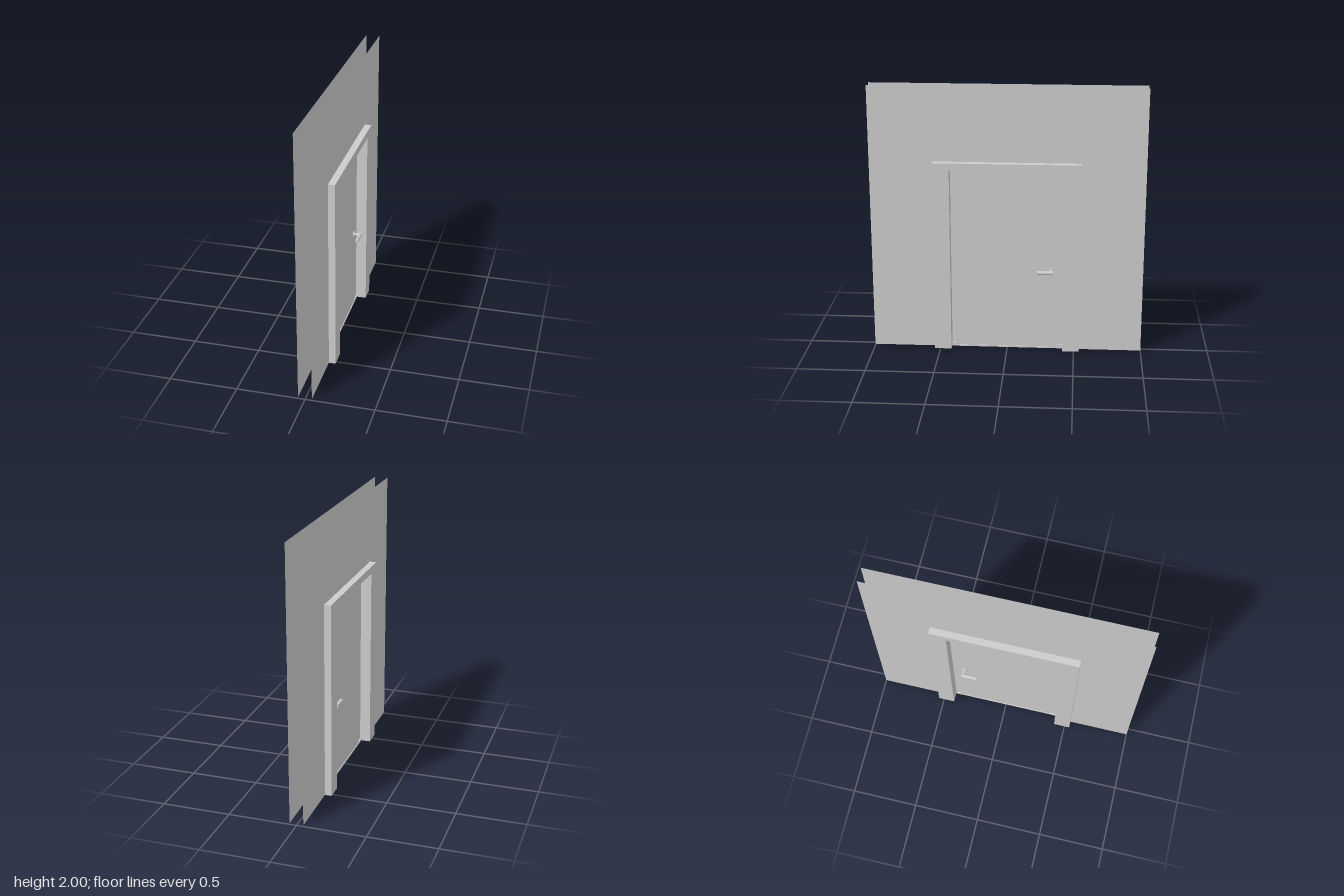
import * as THREE from 'three';

const material = new THREE.MeshStandardMaterial({ color: 0xcccccc });
const sheet = new THREE.MeshStandardMaterial({ color: 0xcccccc, side: THREE.DoubleSide });

const BASE = 0.01;

// upside-down U outline in the z-y plane, open at the bottom
function archShape(outer, top, inner, innerTop) {
  return new THREE.Shape([
    [-outer, BASE], [-inner, BASE], [-inner, innerTop], [inner, innerTop],
    [inner, BASE], [outer, BASE], [outer, top], [-outer, top],
  ].map(([z, y]) => new THREE.Vector2(z, y)));
}

function add(parent, name, geometry, x = 0, y = 0, z = 0, mat = material) {
  const mesh = new THREE.Mesh(geometry, mat);
  mesh.name = name;
  mesh.position.set(x, y, z);
  parent.add(mesh);
  return mesh;
}

// lever handle standing off the door face towards side * x
function createHandle(side) {
  const handle = new THREE.Group();
  handle.name = side > 0 ? 'leftHandle' : 'rightHandle';
  const y = 0.62, z = -0.325;
  const rod = (r, length) => new THREE.CylinderGeometry(r, r, length, 20);
  add(handle, 'rose', rod(0.025, 0.01).rotateZ(Math.PI / 2), side * 0.025, y, z);
  add(handle, 'stem', rod(0.012, 0.05).rotateZ(Math.PI / 2), side * 0.045, y, z);
  add(handle, 'lever', rod(0.014, 0.117).rotateX(Math.PI / 2), side * 0.07, y, -0.2805);
  return handle;
}

export function createModel() {
  const model = new THREE.Group();
  model.name = 'doorInWall';

  // two thin wall skins with a doorway cut out
  const skin = new THREE.ShapeGeometry(archShape(1, 2, 0.45, 1.42)).rotateY(-Math.PI / 2);
  for (const side of [-1, 1]) {
    add(model, side > 0 ? 'leftWallSkin' : 'rightWallSkin', skin, side * 0.05, 0, 0, sheet);
  }

  // door frame, proud of the wall on both sides
  const frame = new THREE.ExtrudeGeometry(archShape(0.54, 1.45, 0.415, 1.395),
    { depth: 0.2, bevelEnabled: false });
  add(model, 'frame', frame.translate(0, 0, -0.1).rotateY(-Math.PI / 2));

  // door leaf and threshold
  add(model, 'door', new THREE.BoxGeometry(0.04, 1.385, 0.83), 0, 0.7025, 0);
  add(model, 'threshold', new THREE.BoxGeometry(0.05, 0.012, 0.83), 0, 0.006, 0);

  // small stops at the foot of each jamb, and handles on both faces
  for (const side of [-1, 1]) {
    add(model, 'jambStop', new THREE.BoxGeometry(0.06, 0.018, 0.044), 0, 0.021, side * 0.397);
    model.add(createHandle(side));
  }
  return model;
}
